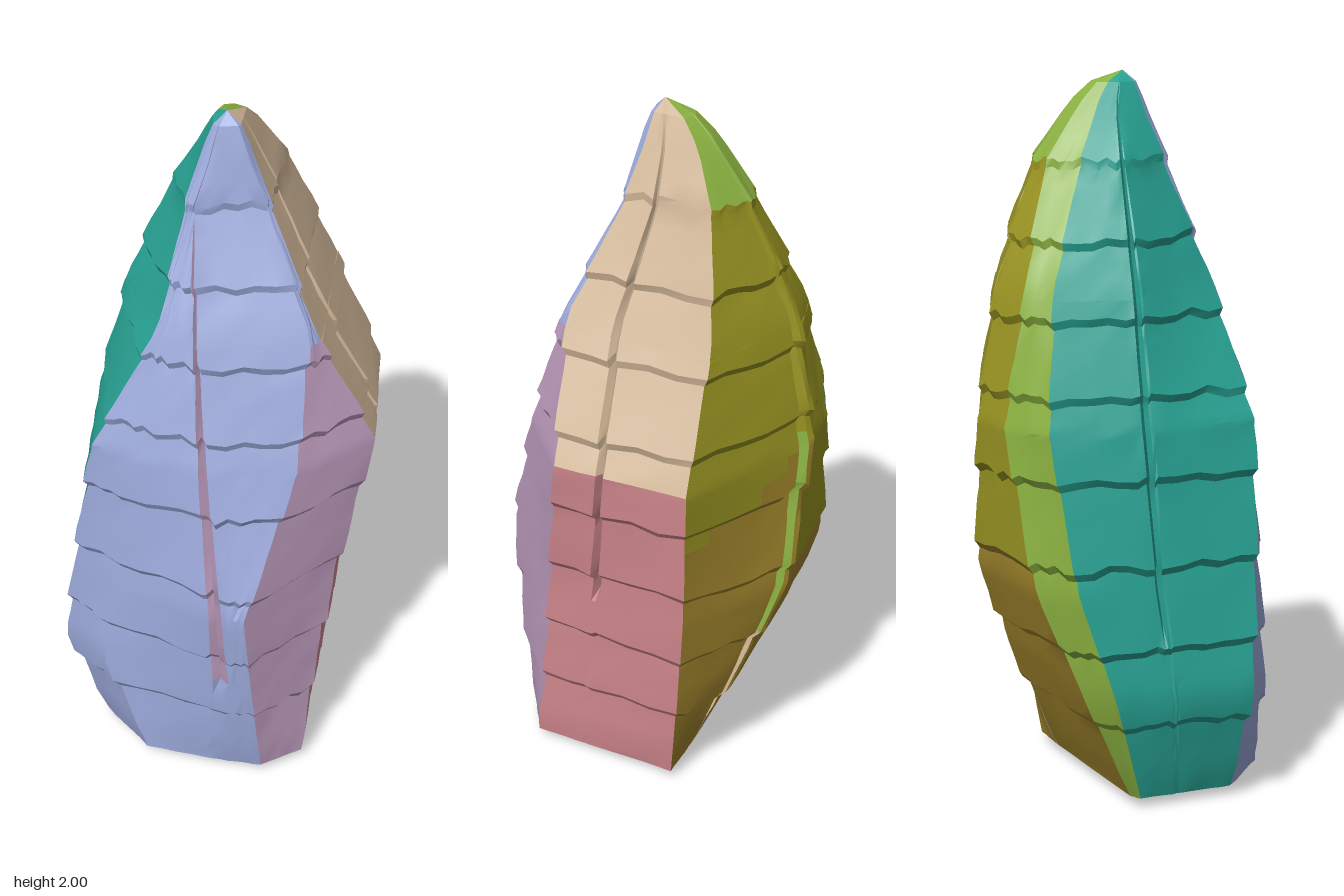
import * as THREE from 'three';
import { toCreasedNormals } from 'three/addons/utils/BufferGeometryUtils.js';

const COLORS = {
  blue: 0x99a6d6, mauve: 0xbb9abb, pink: 0xd2898f, tan: 0xcfb596, olive: 0x989322,
  gold: 0xa0852c, green: 0x8ab040, teal: 0x28a394, purple: 0x800080,
};

// Heights of the cross-sections, and the path of each vertical edge as [x, z] at those heights
const LEVELS = [0.03, 0.35, 0.65, 1.08, 1.45, 1.75, 1.9];
const EDGES = [
  [[-0.33, 0.2], [-0.44, 0.22], [-0.4, 0.24], [-0.33, 0.26], [-0.15, 0.2], [-0.1, 0.09], [-0.06, 0.04]],      // front right
  [[-0.18, 0.34], [-0.31, 0.31], [-0.26, 0.31], [-0.2, 0.3], [-0.12, 0.21], [-0.09, 0.1], [-0.05, 0.05]],     // lower front bevel
  [[0.04, 0.36], [0.09, 0.41], [0.07, 0.44], [0.01, 0.34], [-0.04, 0.23], [-0.07, 0.11], [-0.03, 0.06]],      // front crack
  [[0.16, 0.36], [0.14, 0.41], [0.12, 0.44], [0.24, 0.29], [0.25, 0.17], [0.12, 0.06], [0.06, 0.04]],         // front ridge
  [[0.27, 0.28], [0.3, 0.23], [0.34, 0.18], [0.43, 0.1], [0.26, 0.15], [0.13, 0.05], [0.07, 0.02]],           // front left
  [[0.25, -0.16], [0.3, -0.21], [0.34, -0.25], [0.4, -0.29], [0.25, -0.28], [0.14, -0.22], [0.07, -0.14]],    // back left
  [[0.13, -0.15], [0.1, -0.3], [0.04, -0.42], [-0.05, -0.44], [-0.05, -0.38], [0, -0.265], [0.01, -0.165]],   // back crack
  [[-0.3, -0.09], [-0.34, -0.24], [-0.29, -0.36], [-0.19, -0.41], [-0.17, -0.34], [-0.06, -0.25], [-0.04, -0.15]], // back
  [[-0.33, -0.07], [-0.41, -0.17], [-0.39, -0.27], [-0.33, -0.33], [-0.23, -0.28], [-0.12, -0.17], [-0.06, -0.1]], // back right
  [[-0.33, 0.05], [-0.43, 0], [-0.41, -0.03], [-0.37, -0.05], [-0.28, -0.05], [-0.16, -0.05], [-0.075, -0.04]],   // right crack
];

// Facets follow the edges round: colour by height, and an optional crack across the facet
const FACETS = [
  { color: () => 'blue' },
  { color: () => 'blue', crack: 0.9, width: 0.06, from: 0.35, inlay: y => (y > 0.4 && y < 1.8 ? 'mauve' : 'blue') },
  { color: () => 'blue' },
  { color: y => (y < 1.42 ? 'mauve' : 'blue') },
  { color: y => (y < 1.08 ? 'pink' : 'tan'), crack: 0.35, width: 0.03, from: 0.65 },
  { color: (y, u) => (y < 0.88 + 0.2 * u ? 'gold' : y < 1.78 ? 'olive' : 'green'), crack: 0.92, width: 0.04, from: 0.2,
    inlay: y => (y < 0.5 ? 'tan' : y < 1.1 ? 'green' : y < 1.78 ? 'olive' : 'green') },
  { color: y => (y < 0.73 ? 'gold' : y < 1.78 ? 'olive' : 'green') },
  { color: () => 'green' },
  { color: () => 'teal', crack: 0.93, width: 0.04, from: 0.5 },
  { color: () => 'teal' },
];

const LEDGES = [0.03, 0.25, 0.47, 0.7, 0.93, 1.15, 1.35, 1.55, 1.75, 1.97];
const hash = (a, b) => {
  const s = Math.sin(a * 12.99 + b * 78.23) * 43758.55;
  return s - Math.floor(s) - 0.5;
};

// Above the last cross-section the stone rounds off to its tip
function edgeAt(edge, y) {
  const top = LEVELS.length - 1;
  if (y > LEVELS[top]) return new THREE.Vector2(...edge[top]).multiplyScalar(Math.sqrt((2 - y) / (2 - LEVELS[top])));
  let i = 0;
  while (y > LEVELS[i + 1]) i++;
  const t = (y - LEVELS[i]) / (LEVELS[i + 1] - LEVELS[i]);
  return new THREE.Vector2(...edge[i]).lerp(new THREE.Vector2(...edge[i + 1]), t);
}

// Rows: each layer juts out just above its ledge and tapers back towards the next
function makeRows() {
  const rows = [];
  const step = 0.022;
  for (let i = 0; i < LEDGES.length - 1; i++) {
    const y0 = LEDGES[i], y1 = LEDGES[i + 1], jag = i ? 0.022 : 0;
    rows.push({ y: y0, out: i ? -0.009 : 0, jag });
    rows.push({ y: y0 + step, out: i ? 0.007 : 0, jag });
    // Extra rows inside the layer, including those where the side colours change
    const inner = [0.35, 0.6, 0.8].map(t => y0 + (y1 - y0) * t);
    inner.push(...[1.08, 1.42].filter(y => y > y0 && y < y1));
    for (const y of inner) rows.push({ y, out: 0.007 - 0.016 * (y - y0 - step) / (y1 - y0 - step), jag: 0 });
  }
  rows.push({ y: 1.97, out: 0, jag: 0 });
  return rows.sort((a, b) => a.y - b.y);
}

// Columns: even steps over every facet, with three close ones at a crack
function makeColumns() {
  const columns = [];
  FACETS.forEach(({ crack, width }, f) => {
    const steps = [0, 0.2, 0.4, 0.6, 0.8].map(u => ({ f, u }));
    if (crack) {
      const kept = steps.filter(s => s.u === 0 || Math.abs(s.u - crack) > 0.08);
      kept.push({ f, u: crack - width, lip: true }, { f, u: crack, deep: true, lip: true }, { f, u: crack + width });
      columns.push(...kept.sort((a, b) => a.u - b.u));
    } else columns.push(...steps);
  });
  return columns;
}

function pointAt(column, row, c, r) {
  const { f, u, deep } = column;
  const y = row.y + row.jag * hash(c, Math.round(row.y * 4));
  const p = edgeAt(EDGES[f], y).lerp(edgeAt(EDGES[(f + 1) % EDGES.length], y), u);
  const fade = Math.min(1, (2 - y) * 3);
  let out = row.out + 0.004 * hash(c, r);
  if (deep && y > FACETS[f].from) out -= 0.02;
  const length = p.length();
  p.multiplyScalar((length + out * fade) / length);
  return new THREE.Vector3(p.x, y, p.y);
}

export function createModel() {
  const group = new THREE.Group();
  const triangles = Object.fromEntries(Object.keys(COLORS).map(name => [name, []]));
  const add = (name, ...points) => points.forEach(p => triangles[name].push(p.x, p.y, p.z));

  const rows = makeRows();
  const columns = makeColumns();
  const grid = rows.map((row, r) => columns.map((column, c) => pointAt(column, row, c, r)));
  const last = rows.length - 1;
  const tip = new THREE.Vector3(0, 2, 0);
  const base = new THREE.Vector3(-0.02, 0, 0.1);

  columns.forEach((column, c) => {
    const n = (c + 1) % columns.length;
    const facet = FACETS[column.f];
    // Stone sides
    for (let r = 0; r < last; r++) {
      const y = (rows[r].y + rows[r + 1].y) / 2;
      const name = column.lip && facet.inlay ? facet.inlay(y) : facet.color(y, column.u);
      const [a, b, d, e] = [grid[r][c], grid[r][n], grid[r + 1][n], grid[r + 1][c]];
      add(name, a, b, d);
      add(name, a, d, e);
    }
    // Tip and underside
    add(facet.color(2, 0), grid[last][c], grid[last][n], tip);
    add('purple', grid[0][n], grid[0][c], base);
  });

  const partNames = {
    blue: 'frontFace', mauve: 'frontLeftFace', pink: 'lowerLeftFace', tan: 'upperLeftFace', olive: 'upperBackFace',
    gold: 'lowerBackFace', green: 'backRightFace', teal: 'rightFace', purple: 'underside',
  };
  for (const [name, positions] of Object.entries(triangles)) {
    const geometry = new THREE.BufferGeometry();
    geometry.setAttribute('position', new THREE.Float32BufferAttribute(positions, 3));
    const material = new THREE.MeshStandardMaterial({ color: COLORS[name] });
    material.name = name;
    const mesh = new THREE.Mesh(toCreasedNormals(geometry, 0.4), material);
    mesh.name = partNames[name];
    group.add(mesh);
  }
  return group;
}
